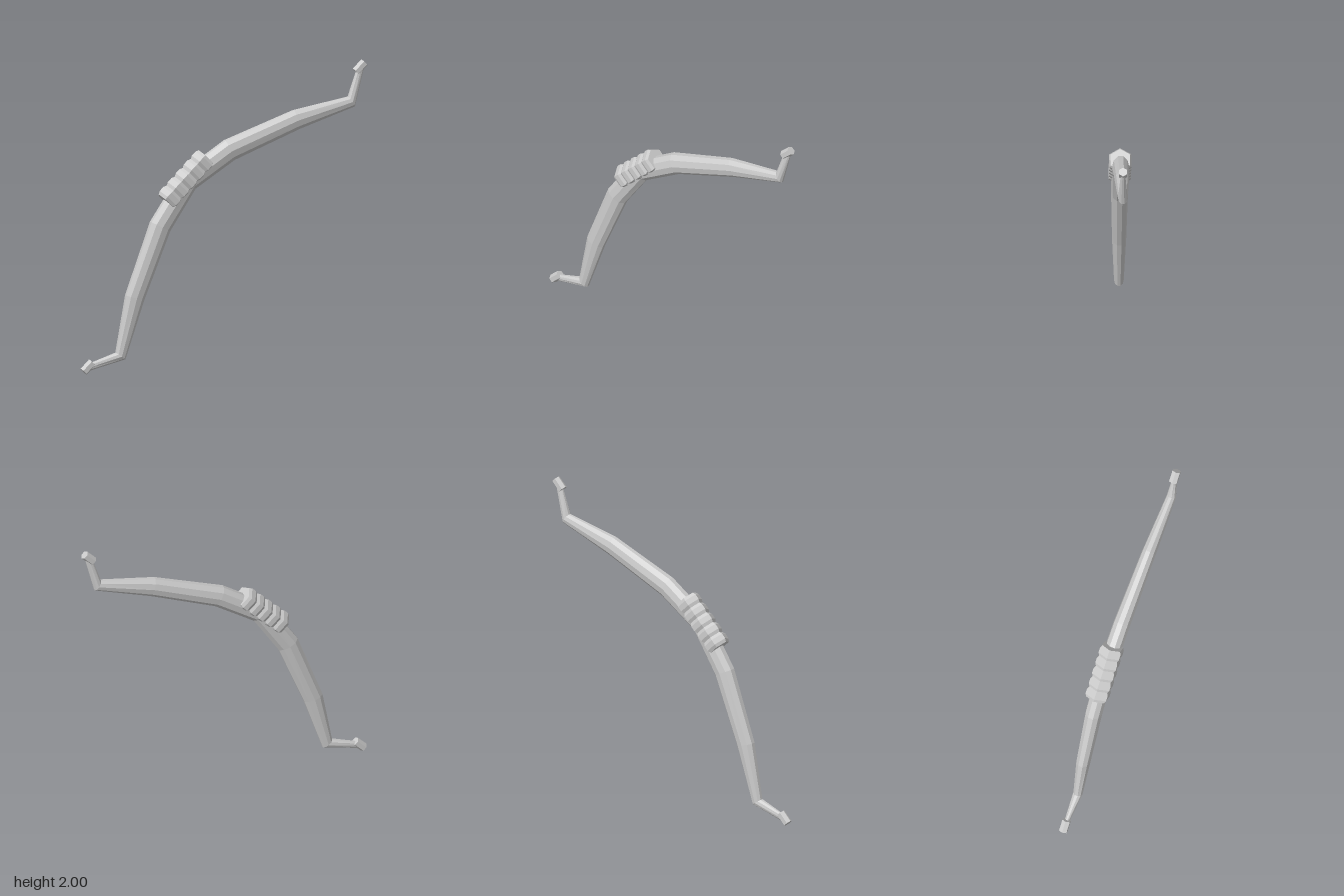
import * as THREE from 'three';

const SIDES = 10;
const material = new THREE.MeshStandardMaterial({ color: 0xcccccc, flatShading: true });

// Upper half of the stave: outer edge, inner edge, half thickness in z
const upper = [
  { out: [0.005, 1.51], inn: [0.07, 1.38], z: 0.056 },
  { out: [0.485, 1.685], inn: [0.52, 1.56], z: 0.047 },
  { out: [0.865, 1.755], inn: [0.91, 1.69], z: 0.032 },
  { out: [0.931, 1.953], inn: [0.975, 1.943], z: 0.014 },
];
const middle = { out: [-0.305, 1.305], inn: [-0.203, 1.203], z: 0.058 };

// Mirror across the diagonal x + y = 1
const flip = ([x, y]) => [1 - y, 1 - x];
const lower = upper.map((s) => ({ out: flip(s.out), inn: flip(s.inn), z: s.z })).reverse();

// Skin a ten-sided tube over the sections
function staveGeometry(sections) {
  const positions = [];
  const index = [];
  const flat = Math.cos(Math.PI / SIDES);
  sections.forEach(({ out, inn, z }, i) => {
    for (let j = 0; j < SIDES; j++) {
      const a = ((j + 0.5) / SIDES) * Math.PI * 2;
      const k = 0.5 + (0.5 * Math.cos(a)) / flat;
      positions.push(
        inn[0] + (out[0] - inn[0]) * k,
        inn[1] + (out[1] - inn[1]) * k,
        z * Math.sin(a)
      );
      if (i < sections.length - 1) {
        const p = i * SIDES + j;
        const q = i * SIDES + ((j + 1) % SIDES);
        index.push(p, q, q + SIDES, p, q + SIDES, p + SIDES);
      }
    }
  });
  const geometry = new THREE.BufferGeometry();
  geometry.setAttribute('position', new THREE.Float32BufferAttribute(positions, 3));
  geometry.setIndex(index);
  geometry.computeVertexNormals();
  return geometry;
}

// Six-sided solid turned about the diagonal
function hexTurned(name, profile, x, y) {
  const points = profile.map(([r, h]) => new THREE.Vector2(r, h));
  const mesh = new THREE.Mesh(new THREE.LatheGeometry(points, 6, Math.PI / 2), material);
  mesh.name = name;
  mesh.position.set(x, y, 0);
  mesh.rotation.z = -Math.PI / 4;
  return mesh;
}

export function createModel() {
  const group = new THREE.Group();
  group.name = 'bow';

  // Curved stave with recurved ends
  const stave = new THREE.Mesh(staveGeometry([...lower, middle, ...upper]), material);
  stave.name = 'stave';
  group.add(stave);

  // Grip of five bulging bands
  const bands = 5;
  const band = 0.079;
  const profile = [[0, -bands * band / 2]];
  for (let i = 0; i < bands; i++) {
    const h = (i - bands / 2) * band;
    profile.push([0.073, h], [0.084, h + band * 0.27], [0.084, h + band * 0.73]);
  }
  profile.push([0.073, bands * band / 2], [0, bands * band / 2]);
  group.add(hexTurned('grip', profile, -0.264, 1.264));

  // Hexagonal string nocks at both tips
  const nock = [[0, -0.042], [0.03, -0.042], [0.03, 0.042], [0, 0.042]];
  group.add(hexTurned('upperNock', nock, 0.949, 1.949));
  group.add(hexTurned('lowerNock', nock, -0.949, 0.051));

  return group;
}
